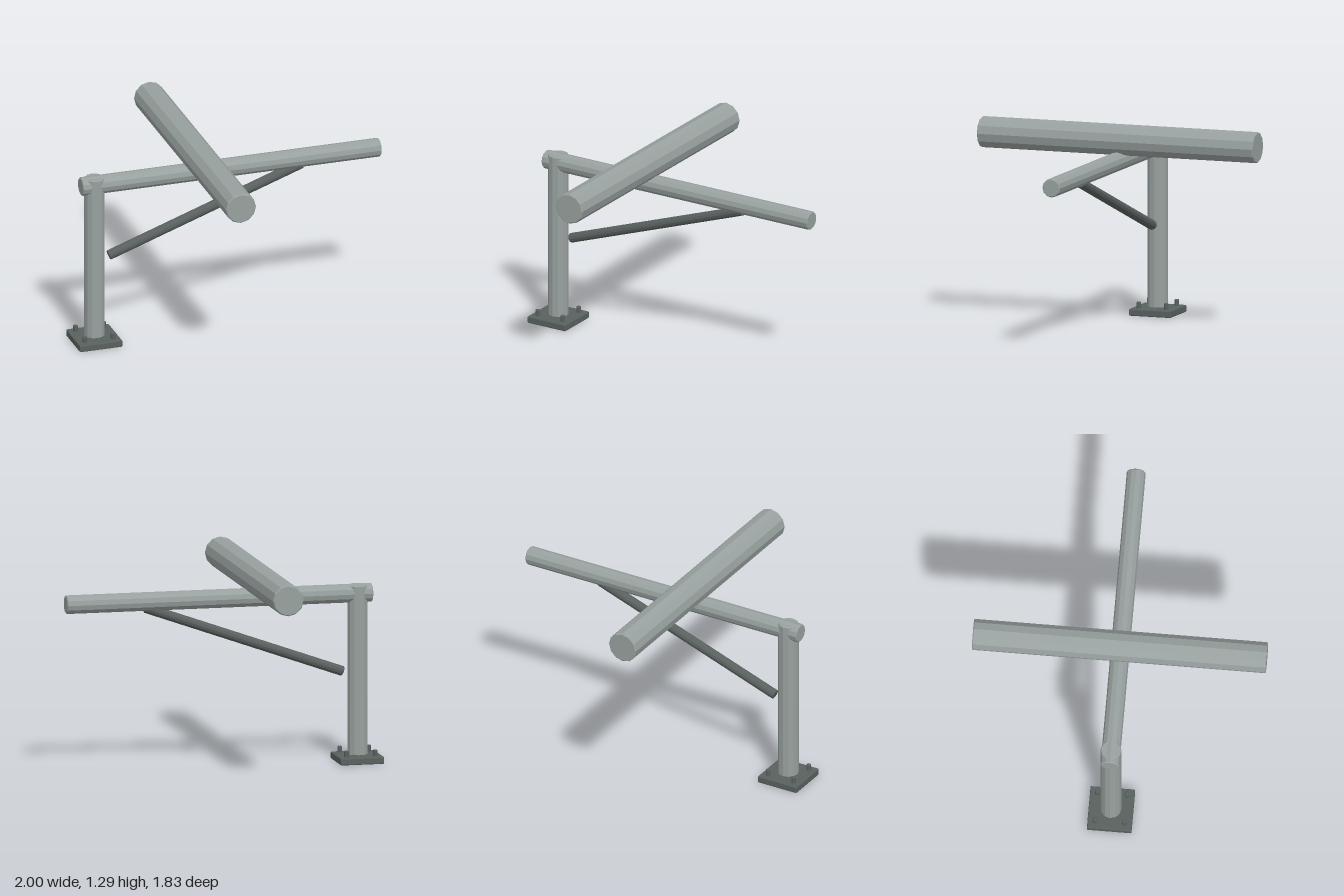
import * as THREE from 'three';
import { RoundedBoxGeometry } from 'three/addons/geometries/RoundedBoxGeometry.js';

const UP = new THREE.Vector3(0, 1, 0);

export function createModel() {
  const model = new THREE.Group();
  model.name = 'cantileverFrame';

  const paleSteel = new THREE.MeshStandardMaterial({ color: 0x98a19f, flatShading: true });
  paleSteel.name = 'pale steel';
  const darkSteel = new THREE.MeshStandardMaterial({ color: 0x59615f, flatShading: true });
  darkSteel.name = 'dark steel';

  // Solid faceted rod between two points, with a small bevel on both rims
  function rod(name, from, to, radius, material, bevel = 0.006, sides = 12) {
    const a = new THREE.Vector3(...from);
    const b = new THREE.Vector3(...to);
    const axis = b.clone().sub(a);
    const h = axis.length() / 2;
    const profile = [
      [0, -h], [radius - bevel, -h], [radius, -h + bevel],
      [radius, h - bevel], [radius - bevel, h], [0, h],
    ].map(([x, y]) => new THREE.Vector2(x, y));
    const mesh = new THREE.Mesh(new THREE.LatheGeometry(profile, sides), material);
    mesh.name = name;
    mesh.position.copy(a).add(b).multiplyScalar(0.5);
    mesh.quaternion.setFromUnitVectors(UP, axis.normalize());
    model.add(mesh);
  }

  const postX = -0.861;

  // Base plate with four anchor bolts
  const plate = new THREE.Mesh(new RoundedBoxGeometry(0.278, 0.044, 0.278, 1, 0.006), darkSteel);
  plate.name = 'basePlate';
  plate.position.set(postX, 0.022, 0);
  model.add(plate);
  for (const sx of [-1, 1]) {
    for (const sz of [-1, 1]) {
      const x = postX + sx * 0.092;
      const z = sz * 0.092;
      rod('anchorBolt', [x, 0.03, z], [x, 0.084, z], 0.0145, darkSteel, 0.003, 10);
    }
  }

  // Upright post and horizontal arm
  rod('post', [postX, 0.042, 0], [postX, 1.112, 0], 0.065, paleSteel);
  rod('arm', [-0.95, 1.06, 0], [1, 1.06, 0], 0.059, paleSteel);

  // Diagonal brace under the arm
  rod('brace', [-0.767, 0.571, 0], [0.493, 1.02, 0], 0.031, darkSteel, 0.003);

  // Thick crossbar resting on the arm
  rod('crossbar', [-0.203, 1.19, -0.915], [-0.203, 1.19, 0.915], 0.098, paleSteel);

  return model;
}
